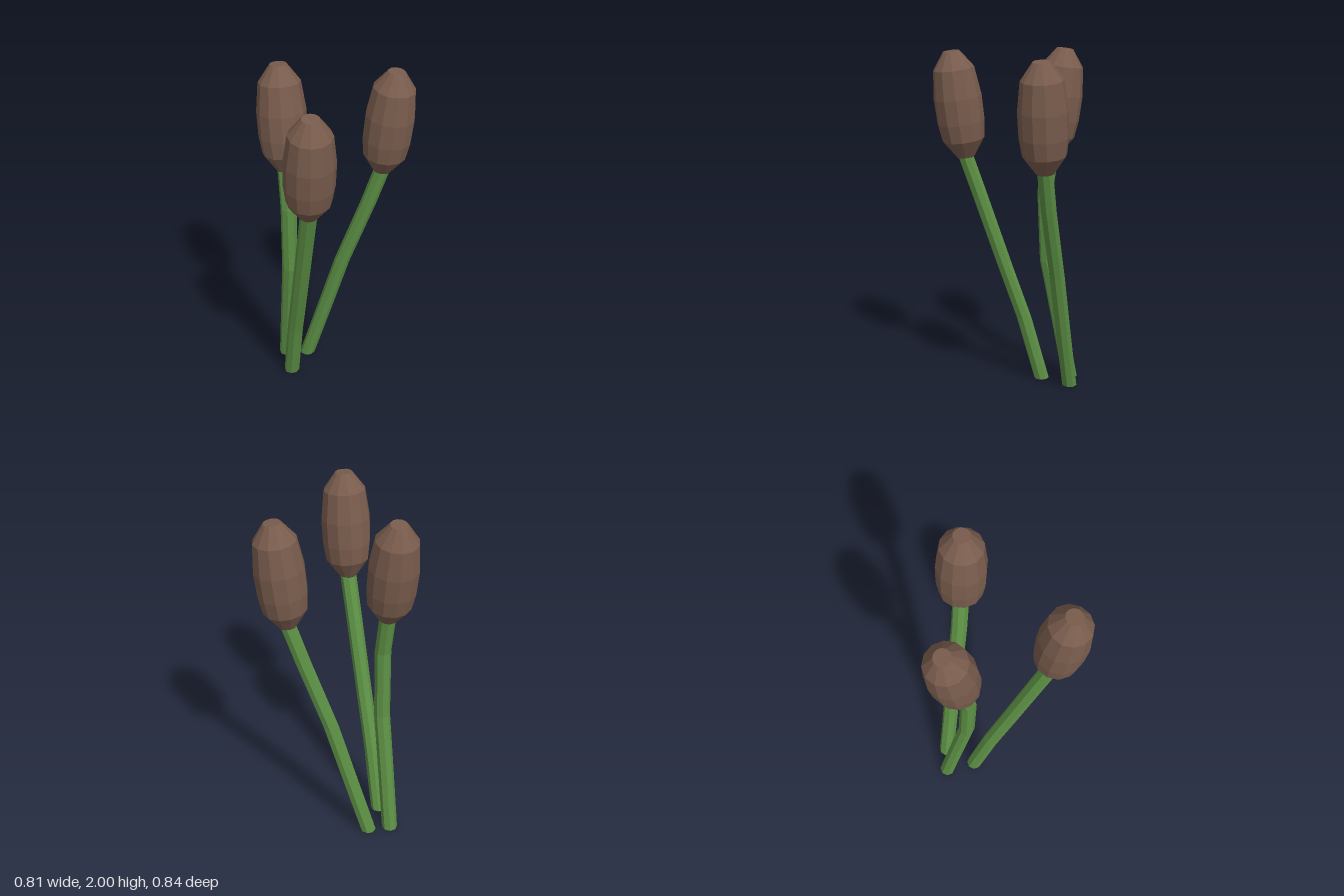
import * as THREE from 'three';

const green = new THREE.MeshStandardMaterial({ color: 0x5d9145, flatShading: true });
const brown = new THREE.MeshStandardMaterial({ color: 0x795c4d, flatShading: true });

// heights at which every stem has a ring
const levels = [0, 0.4, 0.75, 1.17, 1.4];

// xs, zs: stem centre at each level; tip: centre of the head's top; turn: rotation about the stem
const reeds = [
  { name: 'backReed', xs: [-0.262, -0.262, -0.262, -0.262, -0.262], zs: [-0.373, -0.297, -0.228, -0.21, -0.245],
    tip: [-0.262, 1.99, -0.32], turn: 0, end: brown },
  { name: 'frontReed', xs: [-0.28, -0.28, -0.28, -0.28, -0.28], zs: [-0.2, -0.09, 0.03, 0.17, 0.248],
    tip: [-0.28, 1.99, 0.322], turn: 0, end: brown },
  { name: 'sideReed', xs: [-0.138, -0.04, 0.045, 0.17, 0.235], zs: [-0.335, -0.262, -0.2, -0.113, -0.074],
    tip: [0.29, 1.985, -0.034], turn: 0.62, end: green },
];

// Octagonal tube whose level rings follow the stem's path
function makeStem({ xs, zs, turn }) {
  const geo = new THREE.CylinderGeometry(0.045, 0.045, 4, 8, 4, true, Math.PI / 8 + turn);
  const pos = geo.attributes.position;
  for (let i = 0; i < pos.count; i++) {
    const k = Math.round(pos.getY(i) + 2);
    pos.setXYZ(i, pos.getX(i) + xs[k], levels[k], pos.getZ(i) + zs[k]);
  }
  geo.computeVertexNormals();
  const stem = new THREE.Mesh(geo, green);
  stem.name = 'stem';
  return stem;
}

// Flat cut at the foot of the stem
function makeEnd({ xs, zs, turn, end }) {
  const geo = new THREE.CircleGeometry(0.045, 8, Math.PI / 8 + turn);
  geo.rotateX(Math.PI / 2);
  const cut = new THREE.Mesh(geo, end);
  cut.position.set(xs[0], 0, zs[0]);
  cut.name = 'stemEnd';
  return cut;
}

// Twelve-sided seed head, tilted from the stem's top towards its tip
function makeHead({ xs, zs, tip, turn }) {
  const profile = [[0, 0], [0.05, 0], [0.118, 0.1], [0.132, 0.2], [0.134, 0.34], [0.114, 0.5], [0.046, 0.595], [0, 0.595]]
    .map(([r, y]) => new THREE.Vector2(r, y));
  const geo = new THREE.LatheGeometry(profile, 12, Math.PI / 12 + turn);
  const head = new THREE.Mesh(geo, brown);
  const base = new THREE.Vector3(xs[4], 1.4, zs[4]);
  const axis = new THREE.Vector3(...tip).sub(base).normalize();
  head.position.copy(base);
  head.quaternion.setFromUnitVectors(new THREE.Vector3(0, 1, 0), axis);
  head.name = 'seedHead';
  return head;
}

export function createModel() {
  const model = new THREE.Group();
  model.name = 'reeds';
  for (const reed of reeds) {
    const group = new THREE.Group();
    group.name = reed.name;
    group.add(makeStem(reed), makeEnd(reed), makeHead(reed));
    model.add(group);
  }
  return model;
}
